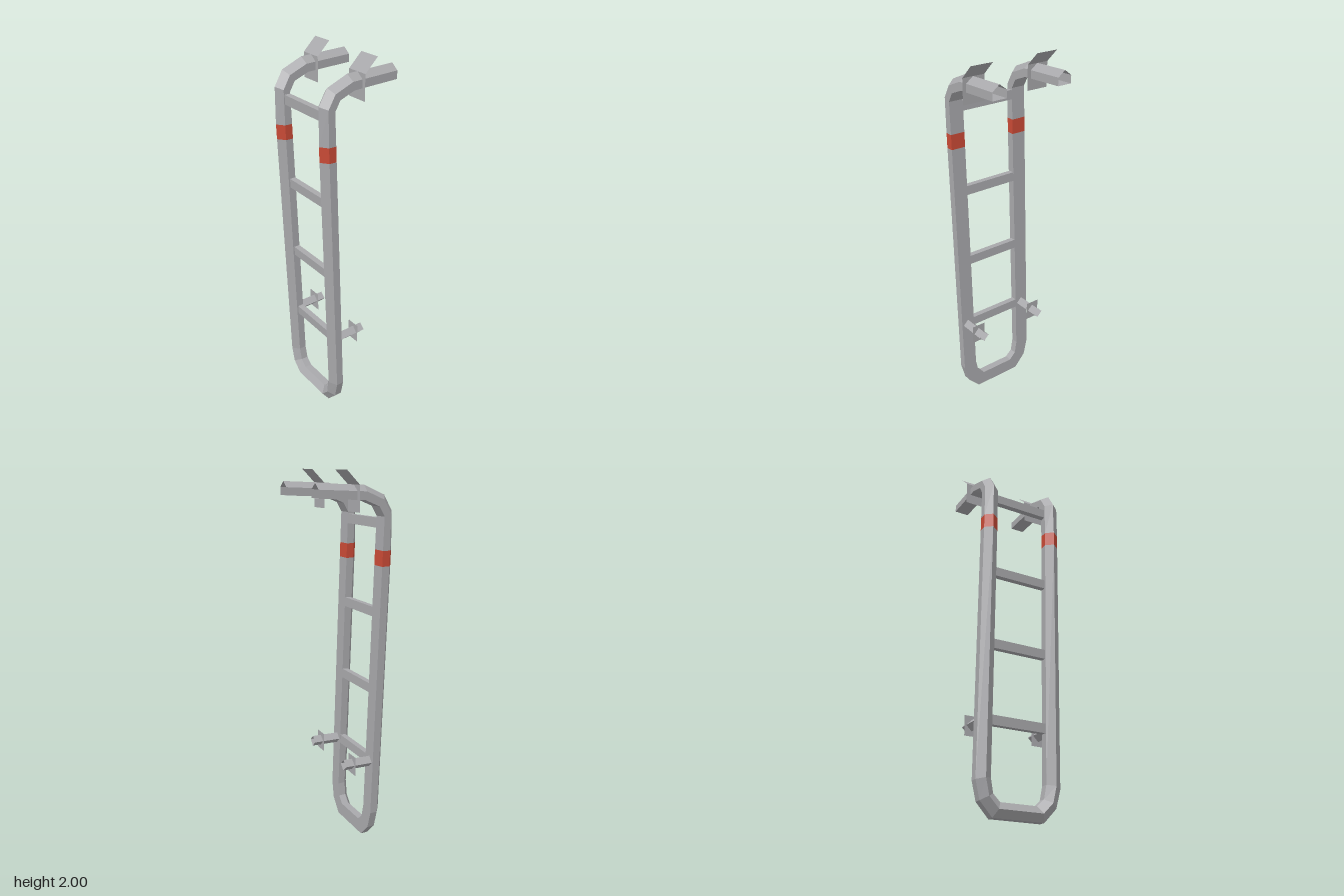
import * as THREE from 'three';

const SLOPE = 0.036; // lean of the ladder plane
const MID = 0.192; // distance of each rail from the centre
const HALF = 0.04; // half width of the tube
const faceX = (y) => -0.085 - SLOPE * y;

// A station of the tube: outer and inner corner of the flat face, and the way to the ridge
const station = (outer, inner, ridge) => ({
  a: new THREE.Vector3(...outer), b: new THREE.Vector3(...inner), n: new THREE.Vector3(...ridge),
});
const bendStation = ([rx, ry, fx, fy]) =>
  station([fx, fy, MID + HALF], [fx, fy, MID - HALF], [rx - fx, ry - fy, 0]);
const railStation = (y) => bendStation([faceX(y) - 0.071, y, faceX(y), y]);
const hoopStation = ([zo, yo, zi, yi]) =>
  station([faceX(yo), yo, zo], [faceX(yi), yi, zi], [-0.07, 0, 0]);

// The same stations for the other side, in reverse order
const mirrored = (list) => list.map(({ a, b, n }) => {
  const flip = (v) => [v.x, v.y, -v.z];
  return station(flip(a), flip(b), flip(n));
}).reverse();

// House-shaped section: flat back, short sides and a ridge
function sectionPoints({ a, b, n }) {
  const ridge = a.clone().add(b).multiplyScalar(0.5).add(n);
  return [a, a.clone().addScaledVector(n, 0.58), ridge, b.clone().addScaledVector(n, 0.58), b];
}

function sweep(list) {
  const rings = list.map(sectionPoints);
  const points = [];
  for (let i = 0; i < rings.length - 1; i++) {
    for (let j = 0; j < 5; j++) {
      const k = (j + 1) % 5;
      const [p0, p1, q0, q1] = [rings[i][j], rings[i][k], rings[i + 1][j], rings[i + 1][k]];
      points.push(p0, p1, q1, p0, q1, q0);
    }
  }
  const geometry = new THREE.BufferGeometry().setFromPoints(points);
  geometry.computeVertexNormals();
  return geometry;
}

export function createModel() {
  const group = new THREE.Group();
  const grey = new THREE.MeshStandardMaterial({ color: 0xa8a8ab, flatShading: true, side: THREE.DoubleSide });
  grey.name = 'grey metal';
  const red = new THREE.MeshStandardMaterial({ color: 0xc94a36, flatShading: true, side: THREE.DoubleSide });
  red.name = 'red band';

  const add = (name, geometry, material = grey) => {
    const mesh = new THREE.Mesh(geometry, material);
    mesh.name = name;
    group.add(mesh);
    return mesh;
  };

  // Hooked top arm and upper rail: ridge x, y and flat face x, y
  const bandTop = railStation(1.607);
  const bandBottom = railStation(1.528);
  const arm = [
    [0.21, 1.94, 0.21, 1.869],
    [-0.055, 1.928, -0.04, 1.857],
    [-0.167, 1.88, -0.12, 1.825],
    [-0.213, 1.8, -0.149, 1.775],
  ].map(bendStation).concat(bandTop);
  const band = [bandTop, bandBottom];

  // Lower rails joined by the rounded foot: outer z, y and inner z, y
  const foot = [bandBottom, ...[
    [0.232, 0.17, 0.152, 0.185],
    [0.208, 0.075, 0.138, 0.113],
    [0.14, 0.002, 0.1, 0.077],
  ].map(hoopStation)];

  add('leftArm', sweep(arm));
  add('rightArm', sweep(mirrored(arm)));
  add('leftBand', sweep(band), red);
  add('rightBand', sweep(mirrored(band)), red);
  add('lowerHoop', sweep([...foot, ...mirrored(foot)]));

  // Rungs, flush with the flat side of the rails
  for (const y of [0.47, 0.871, 1.285, 1.74]) {
    const rung = add('rung', new THREE.BoxGeometry(0.032, 0.05, 2 * (MID - HALF)));
    rung.position.set(faceX(y) - 0.017, y, 0);
    rung.rotation.z = SLOPE;
  }

  for (const side of [-1, 1]) {
    const z = side * MID - 0.002;

    // Bent mounting plate on the arm
    const plate = add('armPlate', new THREE.PlaneGeometry(0.124, 0.13));
    plate.position.set(0.004, 1.865, z);
    plate.rotation.y = Math.PI / 2;
    const flap = add('armPlateFlap', new THREE.PlaneGeometry(0.099, 0.124));
    flap.position.set(0.039, 1.965, z);
    flap.rotation.set(-Math.PI / 2, Math.PI / 4, 0);
    flap.rotation.order = 'ZYX';
    flap.rotation.set(-Math.PI / 2, 0, Math.PI / 4);

    // Lower standoff with its square plate
    const standoff = add('standoff', new THREE.CylinderGeometry(0.03, 0.03, 0.165, 4, 1, true));
    standoff.position.set(-0.027, 0.469, side * MID);
    standoff.rotation.z = -Math.PI / 2 + SLOPE;
    const square = add('standoffPlate', new THREE.PlaneGeometry(0.08, 0.106));
    square.position.set(0.004, 0.467, side * MID);
    square.rotation.y = Math.PI / 2;
  }
  return group;
}
